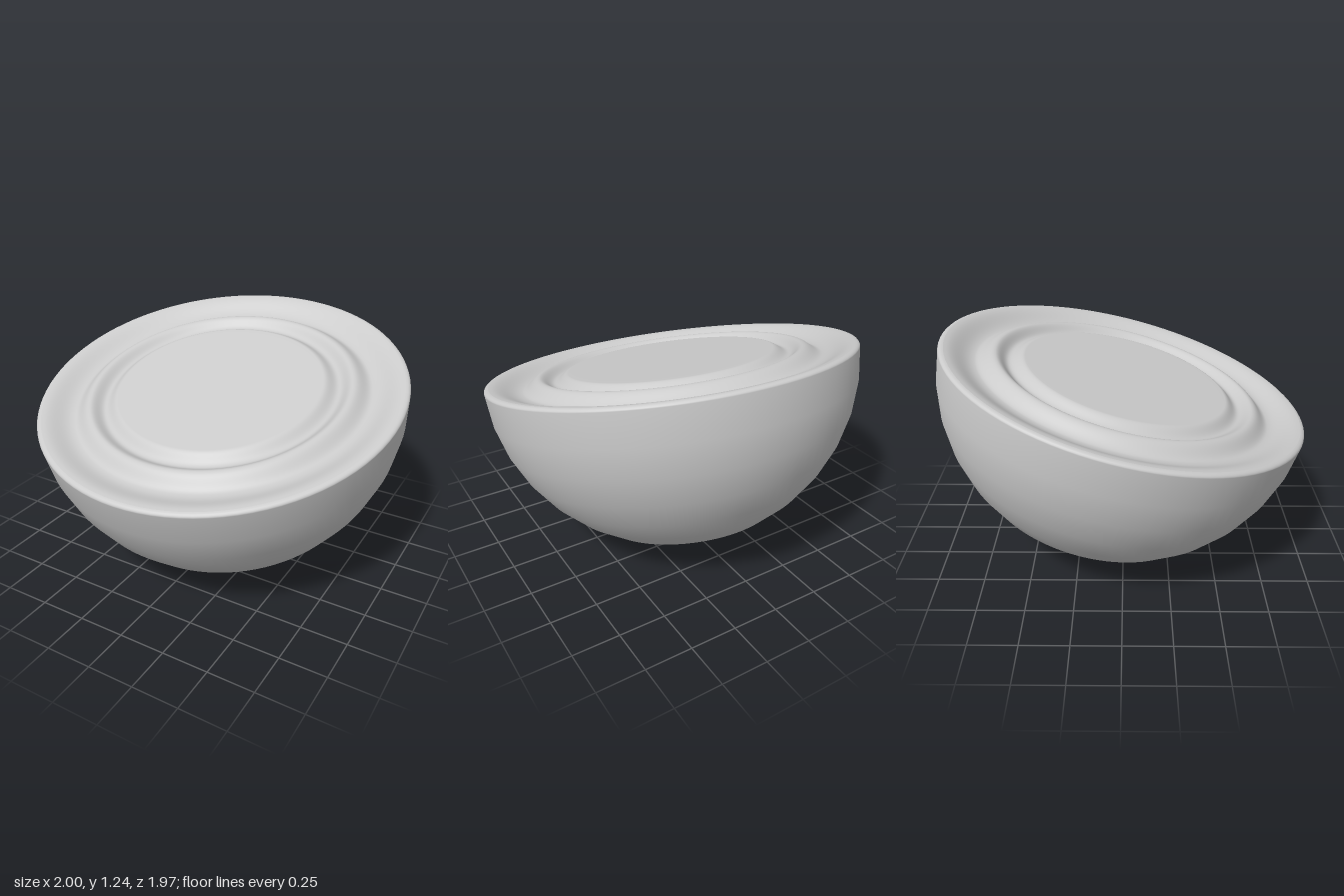
import * as THREE from 'three';

const TILT = THREE.MathUtils.degToRad(14.2);
const DEPTH = 0.985; // depth of the rounded body below its widest circle
const TOP = 0.018;   // height of the rim above the widest circle

// Eases between [radius, height] keys so that ridges and grooves roll smoothly
function rolledProfile(keys, steps) {
  const points = [];
  for (let i = 0; i < keys.length - 1; i++) {
    const [r0, y0] = keys[i], [r1, y1] = keys[i + 1];
    for (let j = 0; j < steps; j++) {
      const t = j / steps;
      const ease = (1 - Math.cos(Math.PI * t)) / 2;
      points.push(new THREE.Vector2(r0 + (r1 - r0) * t, y0 + (y1 - y0) * ease));
    }
  }
  const [r, y] = keys[keys.length - 1];
  points.push(new THREE.Vector2(r, y));
  return points;
}

function turned(name, points, material) {
  const mesh = new THREE.Mesh(new THREE.LatheGeometry(points, 96), material);
  mesh.name = name;
  return mesh;
}

export function createModel() {
  const model = new THREE.Group();
  model.name = 'tiltedHalfSphere';
  const material = new THREE.MeshStandardMaterial({ color: 0xcccccc, side: THREE.DoubleSide });

  // Hemispherical body ending in a small rounded lip
  const body = [];
  const rings = 9;
  for (let i = 0; i <= rings; i++) {
    const a = (i / rings) * Math.PI / 2;
    body.push(new THREE.Vector2(Math.sin(a), -DEPTH * Math.cos(a)));
  }
  for (let i = 1; i <= 5; i++) {
    const a = (i / 5) * Math.PI / 2;
    body.push(new THREE.Vector2(0.975 + 0.025 * Math.cos(a), TOP * Math.sin(a)));
  }

  // Face: wide outer groove, raised ring, narrow inner groove, flat centre
  const face = rolledProfile([
    [0.975, TOP],
    [0.81, TOP - 0.055],
    [0.71, TOP],
    [0.635, TOP - 0.04],
    [0.555, TOP],
    [0, TOP],
  ], 10);

  const tilted = new THREE.Group();
  tilted.name = 'tiltedBody';
  tilted.add(turned('bowl', body, material), turned('groovedFace', face, material));
  tilted.rotation.x = TILT;
  tilted.position.set(0, 0.986, 0.013);
  model.add(tilted);
  return model;
}
